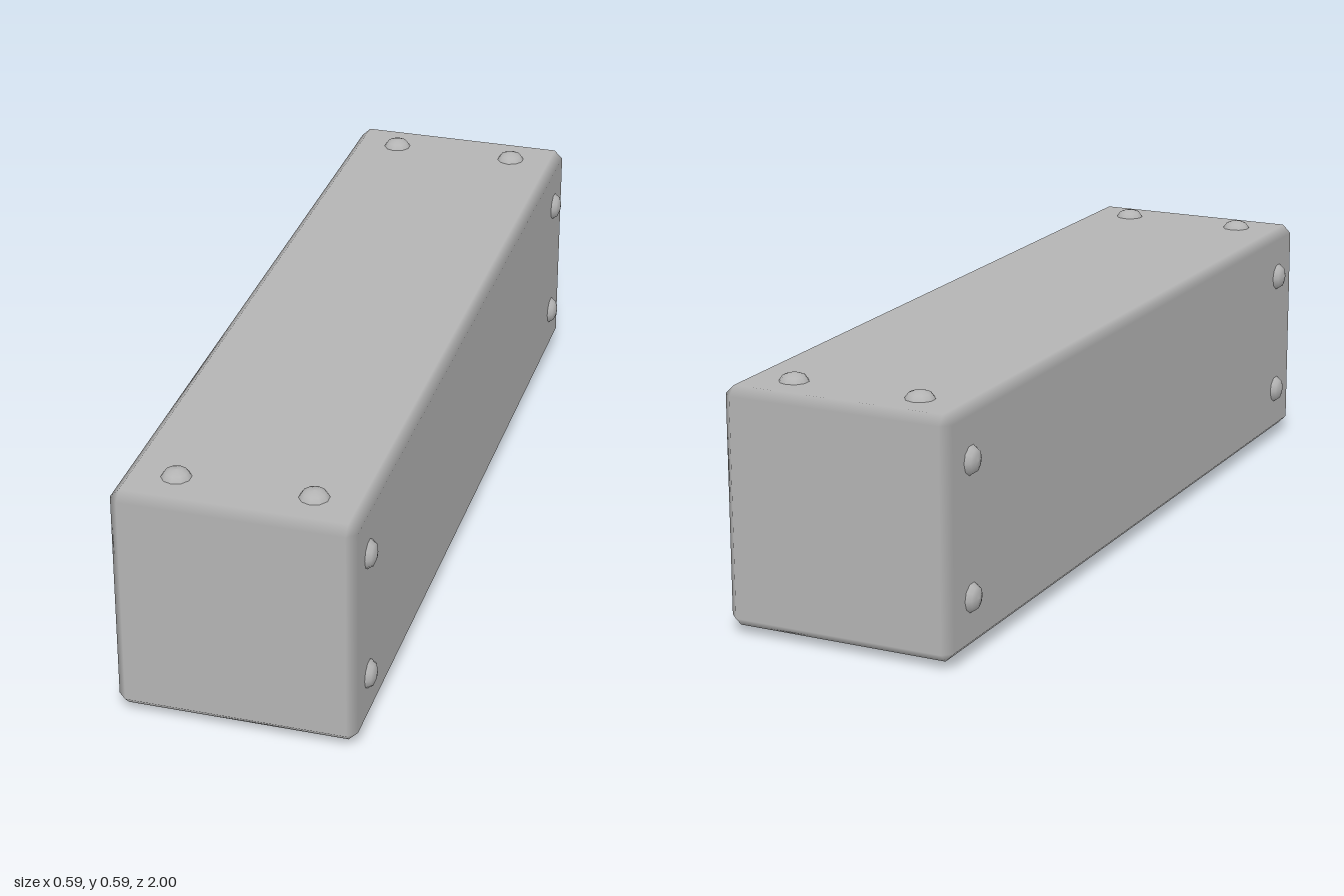
import * as THREE from 'three';
import { ConvexGeometry } from 'three/addons/geometries/ConvexGeometry.js';

const HALF = new THREE.Vector3(0.276, 0.276, 1);
const CENTRE_Y = 0.296;
const BEVEL = 0.021;

// Box with one bevel per edge; every vertex keeps the normal of its flat face
function beveledBox() {
  const points = [];
  for (const axis of [0, 1, 2])
    for (const sx of [-1, 1]) for (const sy of [-1, 1]) for (const sz of [-1, 1]) {
      const p = [sx, sy, sz].map((s, i) => s * (HALF.getComponent(i) - (i === axis ? 0 : BEVEL)));
      points.push(new THREE.Vector3(...p));
    }
  const geometry = new ConvexGeometry(points);
  const pos = geometry.attributes.position, normal = geometry.attributes.normal;
  for (let i = 0; i < pos.count; i++) {
    const n = [0, 1, 2].map((a) => {
      const v = pos.getComponent(i, a);
      return Math.abs(v) > HALF.getComponent(a) - BEVEL / 2 ? Math.sign(v) : 0;
    });
    normal.setXYZ(i, ...n);
  }
  return geometry;
}

// Shallow domed rivet head with its base slightly sunk into the beam
function rivetHead() {
  const profile = [[0.0355, -0.004], [0.034, 0], [0.026, 0.012], [0.014, 0.0165], [0, 0.0185]];
  return new THREE.LatheGeometry(profile.map(([r, y]) => new THREE.Vector2(r, y)), 10);
}

export function createModel() {
  const model = new THREE.Group();
  model.name = 'rivetedBeam';
  const metal = new THREE.MeshStandardMaterial({ color: 0xb4b4b4 });
  metal.name = 'grey metal';

  const beam = new THREE.Mesh(beveledBox(), metal);
  beam.name = 'beam';
  beam.position.y = CENTRE_Y;
  model.add(beam);

  // Four rivets on each long side, two near each end
  const head = rivetHead();
  for (let side = 0; side < 4; side++) {
    const rivets = new THREE.Group();
    rivets.name = ['topRivets', 'leftRivets', 'bottomRivets', 'rightRivets'][side];
    rivets.position.y = CENTRE_Y;
    rivets.rotation.z = -side * Math.PI / 2;
    for (const x of [-0.155, 0.155]) for (const z of [-0.893, 0.893]) {
      const rivet = new THREE.Mesh(head, metal);
      rivet.name = 'rivet';
      rivet.position.set(x, HALF.y, z);
      rivets.add(rivet);
    }
    model.add(rivets);
  }
  return model;
}
